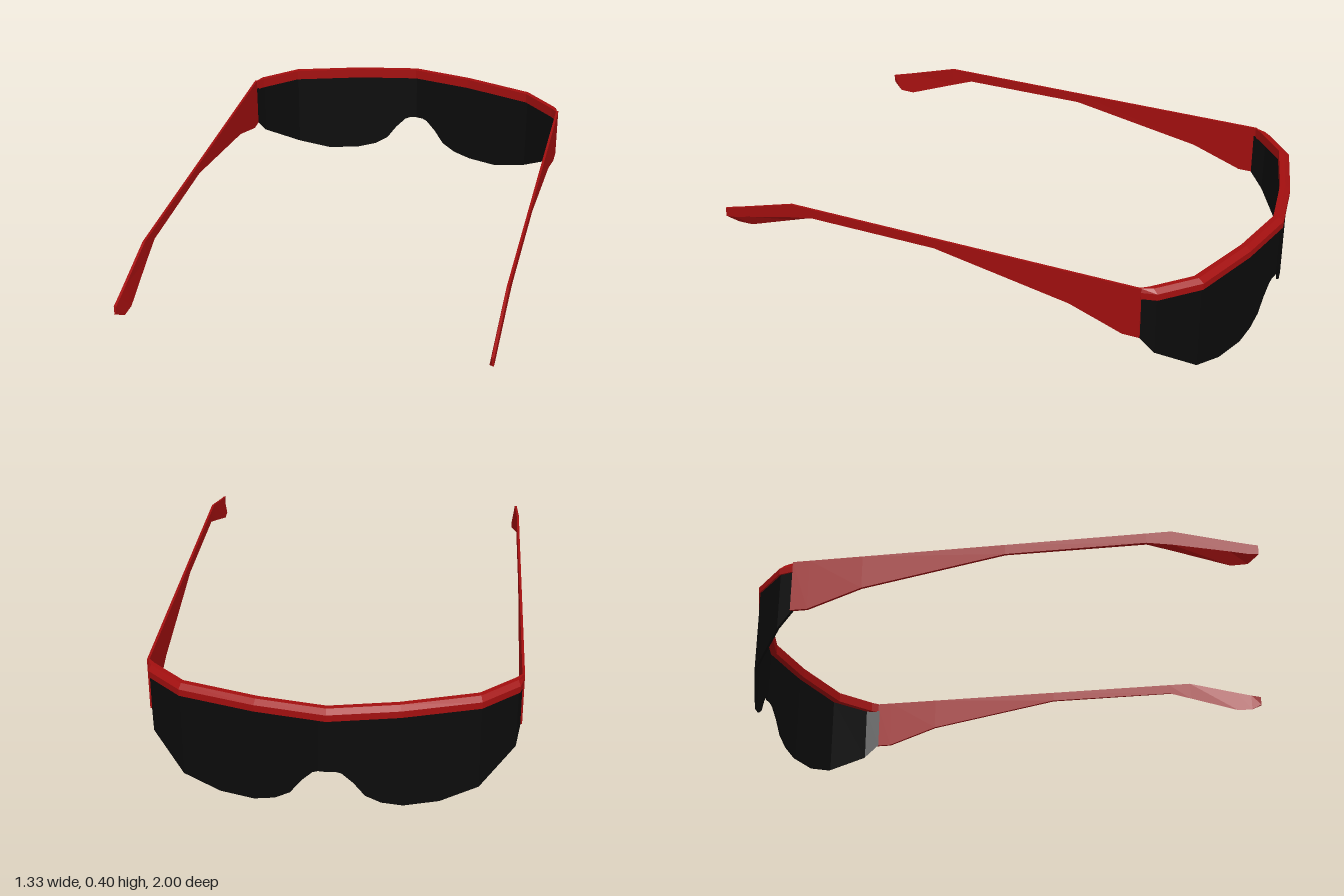
import * as THREE from 'three';

const red = new THREE.MeshStandardMaterial({ color: 0xa30f0f, flatShading: true });
const black = new THREE.MeshStandardMaterial({ color: 0x0b0b0b, flatShading: true });

// Joins equal-sized convex rings (counter-clockwise seen from the far end) into a capped solid
function loft(name, rings, material) {
  const pos = [];
  const tri = (...pts) => pts.forEach((p) => pos.push(...p));
  const n = rings[0].length;
  for (let k = 0; k < rings.length - 1; k++) {
    for (let i = 0; i < n; i++) {
      const j = (i + 1) % n;
      const [a, b, c, d] = [rings[k][i], rings[k][j], rings[k + 1][j], rings[k + 1][i]];
      tri(a, b, c);
      tri(a, c, d);
    }
  }
  const first = rings[0], last = rings[rings.length - 1];
  for (let i = 1; i < n - 1; i++) {
    tri(first[0], first[i + 1], first[i]);
    tri(last[0], last[i], last[i + 1]);
  }
  const geometry = new THREE.BufferGeometry();
  geometry.setAttribute('position', new THREE.Float32BufferAttribute(pos, 3));
  geometry.computeVertexNormals();
  const mesh = new THREE.Mesh(geometry, material);
  mesh.name = name;
  return mesh;
}

// Extends a half list running from x = 0 outwards to both sides
const bothSides = (half) => [
  ...half.slice(1).reverse().map(([x, ...rest]) => [-x, ...rest]),
  ...half,
];

const mix = (a, b, t) => a + (b - a) * t;

export function createModel() {
  const model = new THREE.Group();
  model.name = 'sunglasses';

  // Brow bar: plan stations as outer x, outer z, inner x, inner z
  const brow = [
    [0, -1, 0, -0.96],
    [0.25, -0.953, 0.24, -0.915],
    [0.52, -0.87, 0.51, -0.83],
    [0.65, -0.75, 0.635, -0.715],
    [0.665, -0.69, 0.655, -0.69],
  ];
  const browHalf = brow.map(([ox, oz, ix, iz]) => [ox, oz, ix, iz]);
  const browRings = bothSides(browHalf).map(([ox, oz, ixAbs, iz]) => {
    const ix = Math.sign(ox) * ixAbs;
    return [
      [ox, 0.36, oz],
      [ox, 0.385, oz],
      [mix(ox, ix, 0.5), 0.4, mix(oz, iz, 0.5)],
      [ix, 0.4, iz],
      [ix, 0.36, iz],
    ];
  });
  model.add(loft('browBar', browRings, red));

  // Wraparound lens: x, z and lower edge height, with the nose notch at the middle
  const lens = [
    [0, -0.99, 0.155],
    [0.03, -0.985, 0.154],
    [0.05, -0.981, 0.146],
    [0.09, -0.974, 0.105],
    [0.13, -0.967, 0.05],
    [0.185, -0.957, 0.018],
    [0.26, -0.942, 0],
    [0.385, -0.904, 0],
    [0.52, -0.863, 0.04],
    [0.645, -0.745, 0.14],
    [0.66, -0.69, 0.2],
  ];
  const lensRings = bothSides(lens).map(([x, z, y]) => [
    [x, y, z],
    [x, 0.365, z],
    [x * 0.99, 0.365, z + 0.006],
    [x * 0.99, y, z + 0.006],
  ]);
  model.add(loft('lens', lensRings, black));

  // Arms: z, top, outer lower edge, inner lower edge, inner lower x
  const arm = [
    [-0.695, 0.4, 0.2, 0.2, 0.655],
    [-0.63, 0.4, 0.2, 0.2, 0.655],
    [-0.43, 0.4, 0.27, 0.27, 0.655],
    [0.1, 0.4, 0.362, 0.362, 0.655],
    [0.61, 0.4, 0.362, 0.36, 0.655],
    [0.7, 0.4, 0.346, 0.328, 0.652],
    [0.9, 0.342, 0.3, 0.255, 0.643],
    [0.96, 0.325, 0.285, 0.255, 0.645],
    [1, 0.315, 0.28, 0.282, 0.66],
  ];
  for (const side of [1, -1]) {
    const rings = arm.map(([z, top, outer, inner, innerX]) => {
      const ring = [
        [0.665 * side, outer, z],
        [0.665 * side, top, z],
        [0.656 * side, top, z],
        [innerX * side, inner, z],
      ];
      return side > 0 ? ring : ring.reverse();
    });
    model.add(loft(side > 0 ? 'leftArm' : 'rightArm', rings, red));
  }

  return model;
}
